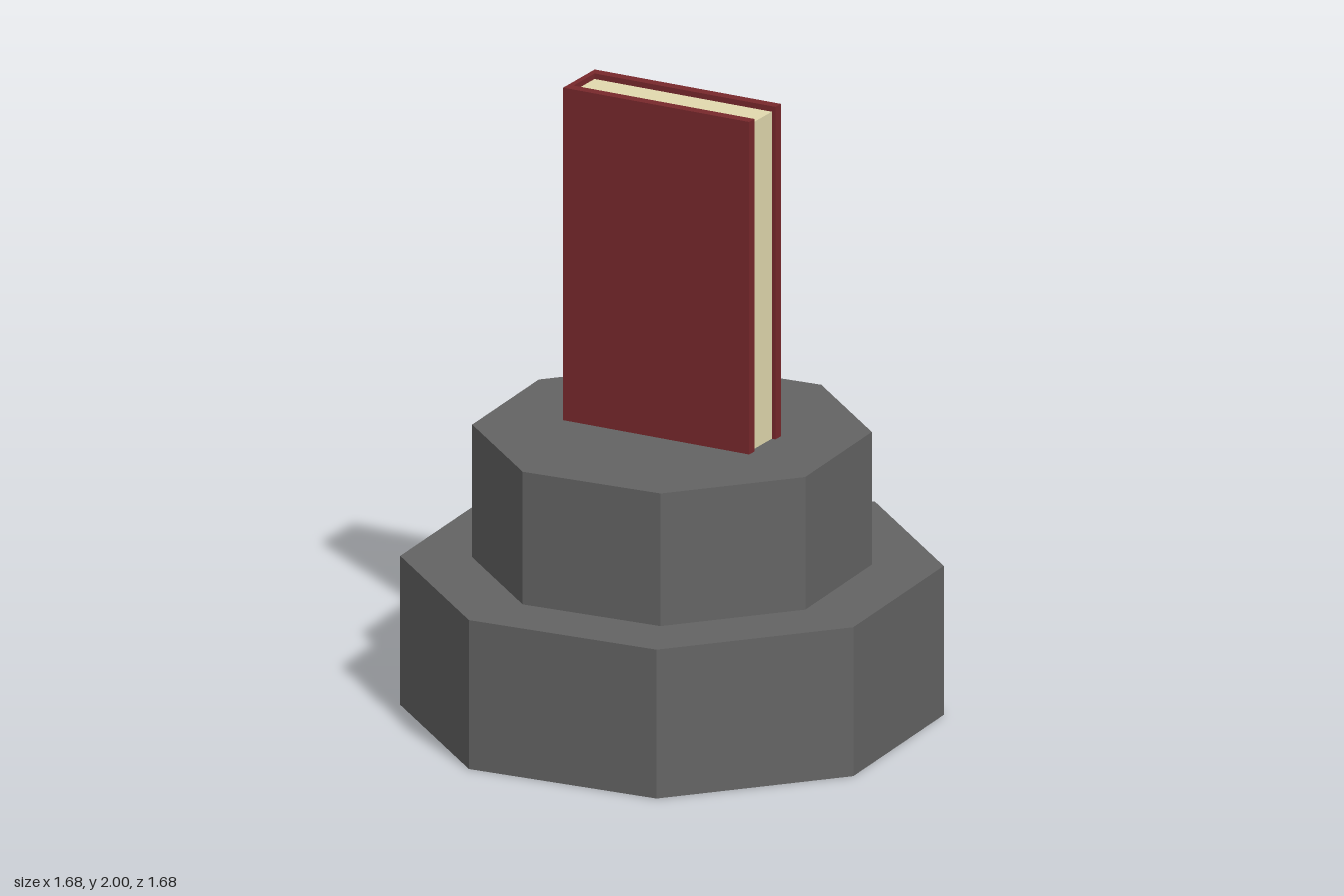
import * as THREE from 'three';

const mat = (color) => new THREE.MeshStandardMaterial({ color, flatShading: true });

export function createModel() {
  const model = new THREE.Group();
  model.name = 'bookOnPedestal';

  const add = (parent, name, geometry, material, y) => {
    const mesh = new THREE.Mesh(geometry, material);
    mesh.name = name;
    mesh.position.y = y;
    parent.add(mesh);
    return mesh;
  };

  // Two stacked octagonal plinth tiers, corners on the axes
  const stone = mat(0x646464);
  const tiers = [
    ['lowerTier', 0.838, 0, 0.485],
    ['upperTier', 0.616, 0.485, 0.917],
  ];
  for (const [name, radius, bottom, top] of tiers) {
    const tier = new THREE.CylinderGeometry(radius, radius, top - bottom, 8);
    add(model, name, tier, stone, (bottom + top) / 2);
  }

  // Upright book, turned on the plinth, spine to the back
  const book = new THREE.Group();
  book.name = 'book';
  book.position.y = 0.917;
  book.rotation.y = 0.327;
  model.add(book);

  const halfW = 0.0985, halfL = 0.329, board = 0.033, spine = 0.018;
  const height = 2 - 0.917;

  // U-shaped cover: two boards joined by the spine (shape y becomes -z)
  const outline = new THREE.Shape([
    [-halfW, -halfL],
    [-halfW + board, -halfL],
    [-halfW + board, halfL - spine],
    [halfW - board, halfL - spine],
    [halfW - board, -halfL],
    [halfW, -halfL],
    [halfW, halfL],
    [-halfW, halfL],
  ].map(([x, y]) => new THREE.Vector2(x, y)));
  const cover = new THREE.ExtrudeGeometry(outline, { depth: height, bevelEnabled: false });
  cover.rotateX(-Math.PI / 2);
  add(book, 'cover', cover, mat(0x78282c), 0);

  // Page block, slightly recessed at the top and fore edge
  const pageFront = halfL - 0.013, pageBack = -halfL + spine;
  const pageHeight = height - 0.018;
  const pages = new THREE.BoxGeometry(2 * (halfW - board), pageHeight, pageFront - pageBack);
  pages.translate(0, 0, (pageFront + pageBack) / 2);
  add(book, 'pages', pages, mat(0xe2d9ae), pageHeight / 2);

  return model;
}
